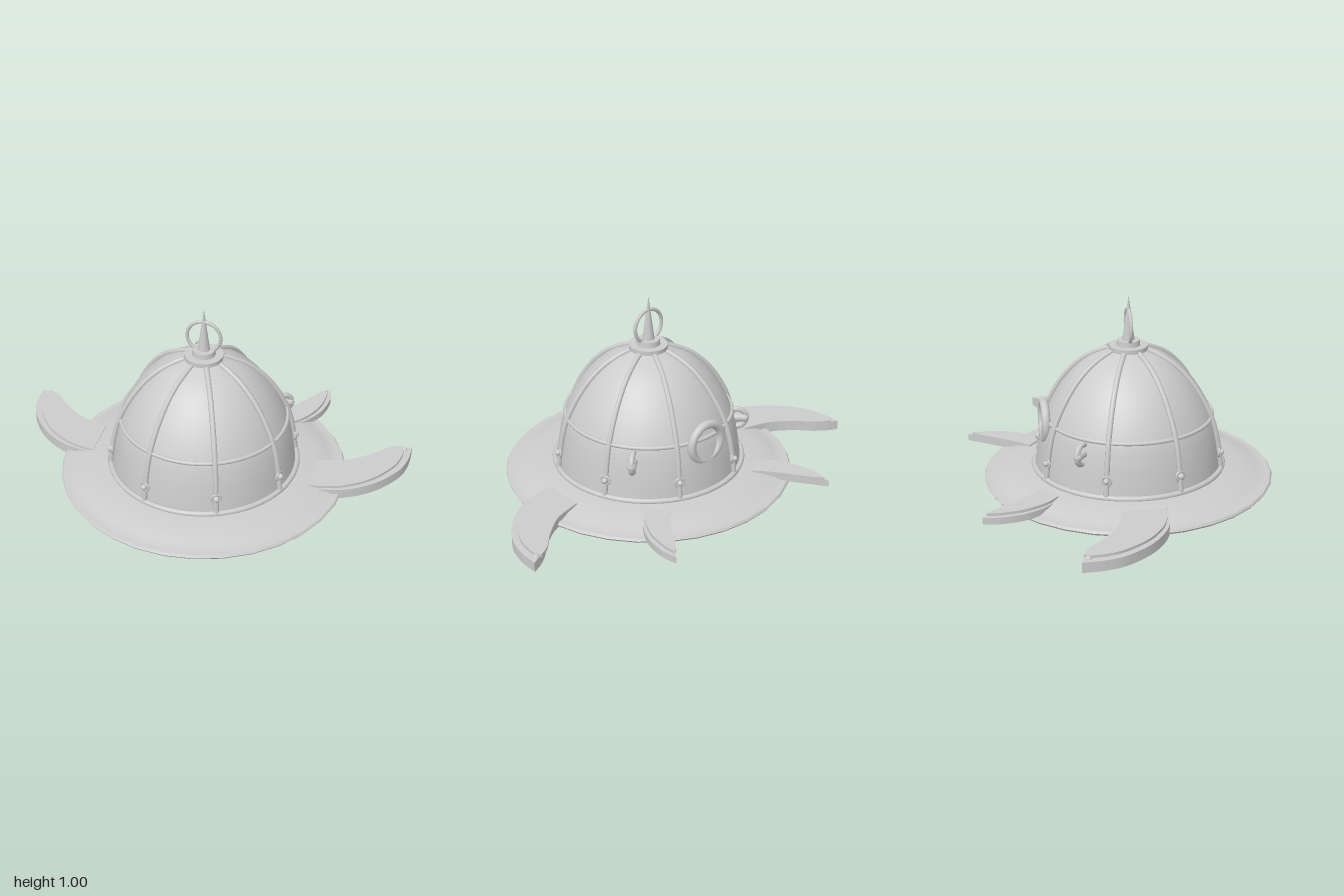
import * as THREE from 'three';
import { toCreasedNormals } from 'three/addons/utils/BufferGeometryUtils.js';

const mat = new THREE.MeshStandardMaterial({ color: 0xcccccc, side: THREE.DoubleSide });
const v2 = (a) => a.map(([x, y]) => new THREE.Vector2(x, y));

// Dome outline as [radius, height], base to crown
const domeCurve = new THREE.SplineCurve(v2([
  [0.46, 0.14], [0.45, 0.22], [0.435, 0.31], [0.41, 0.4], [0.355, 0.51],
  [0.28, 0.61], [0.19, 0.685], [0.09, 0.73],
]));

function add(parent, name, geometry, x = 0, y = 0, z = 0) {
  const mesh = new THREE.Mesh(geometry, mat);
  mesh.name = name;
  mesh.position.set(x, y, z);
  parent.add(mesh);
  return mesh;
}

// Flat torus lying around the vertical axis
const hoop = (r, tube) => new THREE.TorusGeometry(r, tube, 8, 64).rotateX(Math.PI / 2);

// Horizontal plate with an outline given in [x, z], its edges running from root to tip
function plate(outer, inner, side, depth) {
  const flip = (a) => v2(a.map(([x, z]) => [x * side, -z]));
  const shape = new THREE.Shape();
  const o = flip(outer), i = flip(inner);
  shape.moveTo(o[0].x, o[0].y);
  shape.splineThru(o.slice(1));
  shape.lineTo(i[0].x, i[0].y);
  shape.splineThru(i.slice(1));
  shape.closePath();
  return new THREE.ExtrudeGeometry(shape, { depth, bevelEnabled: false, curveSegments: 8 })
    .rotateX(-Math.PI / 2);
}

export function createModel() {
  const root = new THREE.Group();
  root.name = 'hornedDome';
  const body = new THREE.Group();
  body.name = 'body';
  body.position.z = 0.025;
  root.add(body);

  // Saucer brim with shallow underside and rolled edge
  const brim = new THREE.LatheGeometry(v2([
    [0, 0.003], [0.2, 0.01], [0.4, 0.024], [0.56, 0.043], [0.68, 0.068], [0.71, 0.07],
    [0.717, 0.08], [0.71, 0.091], [0.695, 0.093], [0.68, 0.092], [0.64, 0.108],
    [0.57, 0.127], [0.5, 0.135], [0.44, 0.14],
  ]), 32);
  add(body, 'brim', toCreasedNormals(brim, 0.6));

  // Dome shell and its hoops
  add(body, 'dome', new THREE.LatheGeometry(domeCurve.getPoints(32), 48));
  add(body, 'baseHoop', hoop(0.468, 0.014), 0, 0.143);
  add(body, 'middleHoop', hoop(0.412, 0.01), 0, 0.4);

  // Eight ribs, each with a ringed bolt near its foot
  const ribPath = new THREE.CatmullRomCurve3(
    domeCurve.getPoints(12).map((p) => new THREE.Vector3(0, p.y, p.x + 0.008)));
  const ribGeo = new THREE.TubeGeometry(ribPath, 32, 0.013, 8);
  for (let i = 0; i < 8; i++) {
    const arm = new THREE.Group();
    arm.name = 'ribAssembly';
    arm.rotation.y = (i + 0.5) * Math.PI / 4;
    add(arm, 'rib', ribGeo);
    add(arm, 'boltRing', new THREE.TorusGeometry(0.022, 0.006, 8, 20), 0, 0.228, 0.46);
    add(arm, 'bolt', new THREE.SphereGeometry(0.015, 12, 8), 0, 0.228, 0.468);
    body.add(arm);
  }

  // Crown collar, spike and upright ring
  add(body, 'collar', new THREE.CylinderGeometry(0.095, 0.095, 0.036, 24), 0, 0.732);
  add(body, 'collarStep', new THREE.CylinderGeometry(0.055, 0.058, 0.03, 24), 0, 0.762);
  add(body, 'spike', new THREE.ConeGeometry(0.031, 0.23, 12), 0, 0.885);
  add(body, 'crownRing', new THREE.TorusGeometry(0.083, 0.009, 8, 40), 0, 0.845);

  // Round frame on the back
  add(body, 'backFrame', new THREE.TorusGeometry(0.093, 0.021, 12, 40), 0, 0.38, -0.418);

  for (const side of [-1, 1]) {
    // Loop handle and peg on the rear flank
    const handle = new THREE.Group();
    handle.name = side > 0 ? 'leftHandle' : 'rightHandle';
    handle.rotation.y = side * Math.atan2(0.36, -0.295);
    const arc = new THREE.TorusGeometry(0.048, 0.014, 10, 28, Math.PI * 1.5)
      .rotateZ(-Math.PI * 0.75).rotateY(-Math.PI / 2);
    add(handle, 'loop', arc, 0, 0.335, 0.438);
    add(handle, 'peg', new THREE.CylinderGeometry(0.02, 0.02, 0.07, 14).rotateX(Math.PI / 2),
      0, 0.335, 0.445);
    add(handle, 'pegHead', new THREE.SphereGeometry(0.023, 14, 10), 0, 0.335, 0.478);
    body.add(handle);

    // Large side horn: base plate, thin raised plate and tip stud
    const large = new THREE.Group();
    large.name = side > 0 ? 'leftLargeHorn' : 'rightLargeHorn';
    add(large, 'hornBase', plate(
      [[0.56, 0.12], [0.72, 0.09], [0.86, 0.0], [0.96, -0.13], [0.995, -0.24], [1.0, -0.35]],
      [[0.95, -0.325], [0.89, -0.28], [0.81, -0.2], [0.7, -0.13], [0.56, -0.1]],
      side, 0.05), 0, 0.068);
    add(large, 'hornTop', plate(
      [[0.56, 0.115], [0.71, 0.075], [0.84, -0.015], [0.93, -0.14], [0.96, -0.23], [0.965, -0.3]],
      [[0.95, -0.335], [0.89, -0.3], [0.81, -0.22], [0.7, -0.14], [0.56, -0.1]],
      side, 0.014), 0, 0.117);
    add(large, 'tipStud', new THREE.SphereGeometry(0.016, 12, 8), side * 0.965, 0.115, -0.315);
    root.add(large);

    // Small rear horn
    const small = new THREE.Group();
    small.name = side > 0 ? 'leftSmallHorn' : 'rightSmallHorn';
    add(small, 'hornBase', plate(
      [[0.37, -0.37], [0.44, -0.44], [0.495, -0.54], [0.515, -0.65], [0.503, -0.74]],
      [[0.475, -0.7], [0.42, -0.62], [0.35, -0.52], [0.27, -0.44]],
      side, 0.034), 0, 0.09);
    add(small, 'hornTop', plate(
      [[0.36, -0.37], [0.425, -0.44], [0.475, -0.54], [0.493, -0.64], [0.49, -0.72]],
      [[0.46, -0.69], [0.41, -0.62], [0.34, -0.52], [0.27, -0.44]],
      side, 0.014), 0, 0.124);
    root.add(small);
  }
  return root;
}
